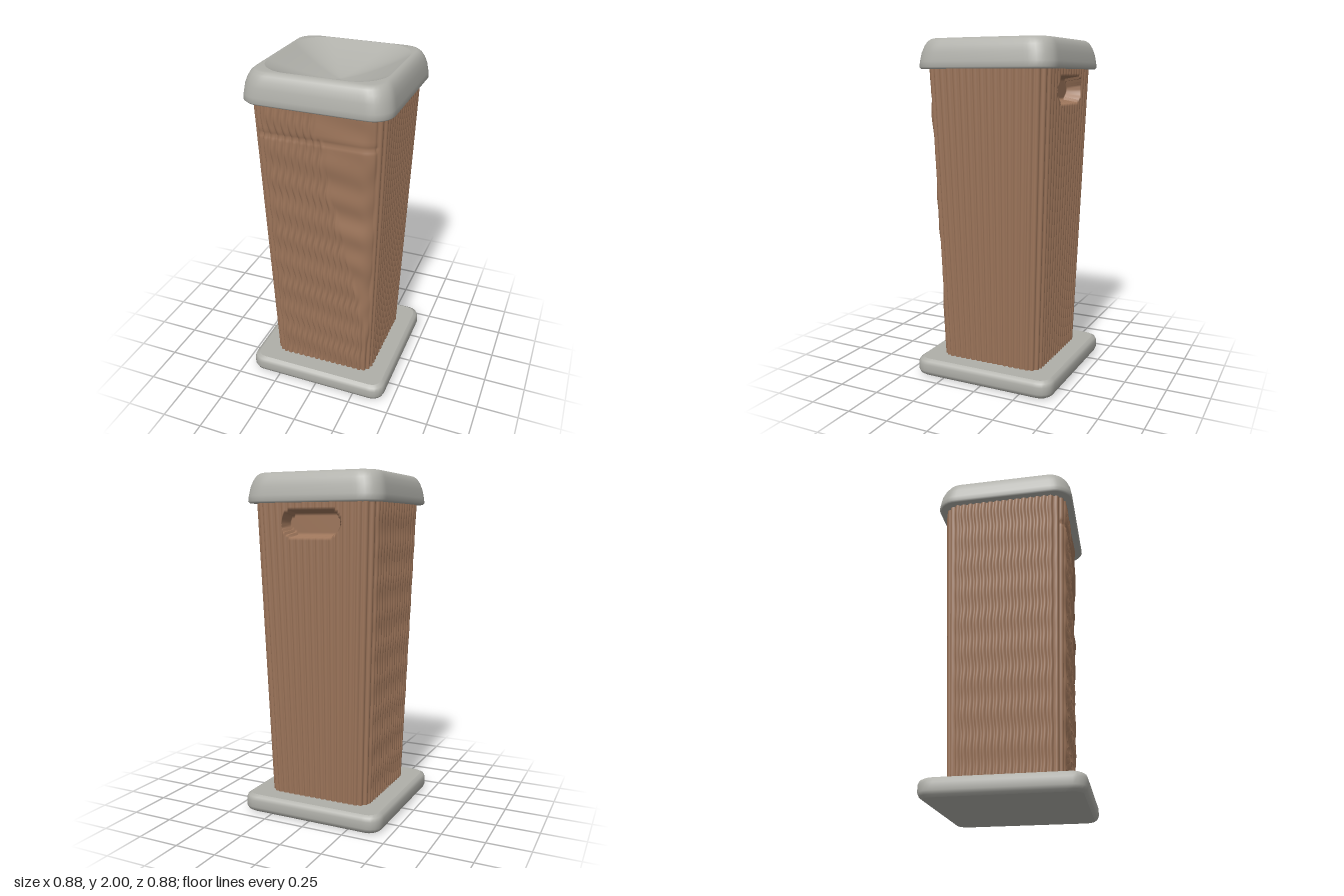
import * as THREE from 'three';

// Point and outward normal on a rounded square; t = 0..1 runs +x, +z, -x, -z.
function ring(h, r, t) {
  r = Math.min(r, h);
  const k = Math.floor(t * 4) % 4, flat = h - r;
  const s = ((t * 4) % 1 - 0.5) * (2 * flat + Math.PI * r / 2);
  const a = Math.abs(s) > flat && r > 0 ? (Math.abs(s) - flat) / r : 0;
  const sg = Math.sign(s);
  let p = a > 0 ? [flat + r * Math.cos(a), sg * (flat + r * Math.sin(a))] : [h, s];
  let n = [Math.cos(a), sg * Math.sin(a)];
  for (let i = 0; i < k; i++) { p = [-p[1], p[0]]; n = [-n[1], n[0]]; }
  return { x: p[0], z: p[1], nx: n[0], nz: n[1], side: k };
}

// Skin closed rings of points; point(i, t) gives [x, y, z].
function loft(rows, cols, point) {
  const pos = [], idx = [];
  for (let i = 0; i < rows; i++) {
    for (let j = 0; j < cols; j++) {
      pos.push(...point(i, j / cols));
      if (i === rows - 1) continue;
      const a = i * cols + j, b = i * cols + (j + 1) % cols;
      idx.push(a, a + cols, b, b, a + cols, b + cols);
    }
  }
  const g = new THREE.BufferGeometry();
  g.setAttribute('position', new THREE.Float32BufferAttribute(pos, 3));
  g.setIndex(idx);
  g.computeVertexNormals();
  return g;
}

// Rounded-square solid from a profile of [halfWidth, y, cornerRadius];
// a repeated profile point gives a sharp edge.
function slab(profile, cols = 128) {
  return loft(profile.length, cols, (i, t) => {
    const [h, y, r] = profile[i], p = ring(h, r, t);
    return [p.x, y, p.z];
  });
}

const lerp = THREE.MathUtils.lerp;
const smooth = THREE.MathUtils.smoothstep;
const Y0 = 0.1, Y1 = 1.85, RIBS = 17;

// Tapered wall: fluted ribs, a worn smooth front area and a rear hand slot.
function wallPoint(v, t) {
  const y = lerp(Y0, Y1, v);
  const p = ring(lerp(0.318, 0.381, v), lerp(0.075, 0.11, v), t);
  const f = (t * 4) % 1;
  const fade = smooth(f, 0, 0.15) * (1 - smooth(f, 0.85, 1));
  const wavy = fade * [0, 1, 0.5, 0][p.side];
  // Ribs wander sideways on the wavy faces
  const drift = wavy * (0.005 * Math.sin(y * 34 + p.x * 4) + 0.004 * Math.sin(y * 15));
  let ribs = 1;
  let offset = wavy * 0.003 * Math.sin(y * 34 + p.x * 6);
  if (p.side === 1) {
    const edge = y > 1.66 ? 0 : lerp(0.31, 0.04, smooth(y, 0.1, 1.75));
    ribs = Math.min(1, 1 - smooth(p.x, edge - 0.01, edge + 0.02) + smooth(p.x, 0.32, 0.36));
    offset -= 0.007 * Math.exp(-(((y - 1.655) / 0.012) ** 2));
    offset -= (1 - ribs) * 0.004 * (1 + Math.sin(y * 11) + 0.6 * Math.sin(y * 27));
  }
  offset += ribs * 0.013 * (Math.abs(Math.sin(Math.PI * t * 4 * RIBS)) - 0.8);
  if (p.side === 3) {
    const dx = Math.max(0, Math.abs(p.x) - 0.11), dy = y - 1.715;
    if (Math.hypot(dx, dy) < 0.068) offset = -0.09;
  }
  return [p.x + p.nx * offset - p.nz * drift, y, p.z + p.nz * offset + p.nx * drift];
}

export function createModel() {
  const model = new THREE.Group();
  const grey = new THREE.MeshStandardMaterial({ color: 0xafafa9 });
  const brown = new THREE.MeshStandardMaterial({ color: 0x9e765b });
  const add = (name, geometry, material, parent = model) => {
    const mesh = new THREE.Mesh(geometry, material);
    mesh.name = name;
    parent.add(mesh);
  };

  // Base plate
  add('base', slab([
    [0, 0, 0], [0.418, 0, 0.06], [0.418, 0, 0.06], [0.434, 0.012, 0.07], [0.442, 0.032, 0.075],
    [0.442, 0.073, 0.075], [0.434, 0.093, 0.07], [0.415, 0.105, 0.06], [0.415, 0.105, 0.06], [0, 0.105, 0],
  ]), grey);

  // Ribbed body
  const rows = 116;
  add('ribbedBody', loft(rows, 4 * RIBS * 6, (i, t) => wallPoint(i / (rows - 1), t)), brown);

  // Lid: rounded rim with filled inner corners
  const lid = new THREE.Group();
  lid.name = 'lid';
  model.add(lid);
  add('lidRim', slab([
    [0, 1.83, 0], [0.38, 1.83, 0.11], [0.412, 1.83, 0.11], [0.421, 1.84, 0.115], [0.418, 1.87, 0.115],
    [0.41, 1.92, 0.115], [0.398, 1.957, 0.115], [0.384, 1.982, 0.11], [0.368, 1.995, 0.1],
    [0.356, 1.999, 0.095], [0.347, 2, 0.18],
  ]), grey, lid);

  // Sunken four-sided funnel, a little steeper at its edge
  const funnel = [];
  for (let i = 0; i <= 20; i++) {
    const k = 1 - i / 20;
    funnel.push([0.347 * k, 2 - 0.12 * (1 - k ** 1.5), 0.18 * k]);
  }
  add('lidFunnel', slab(funnel), grey, lid);

  return model;
}
